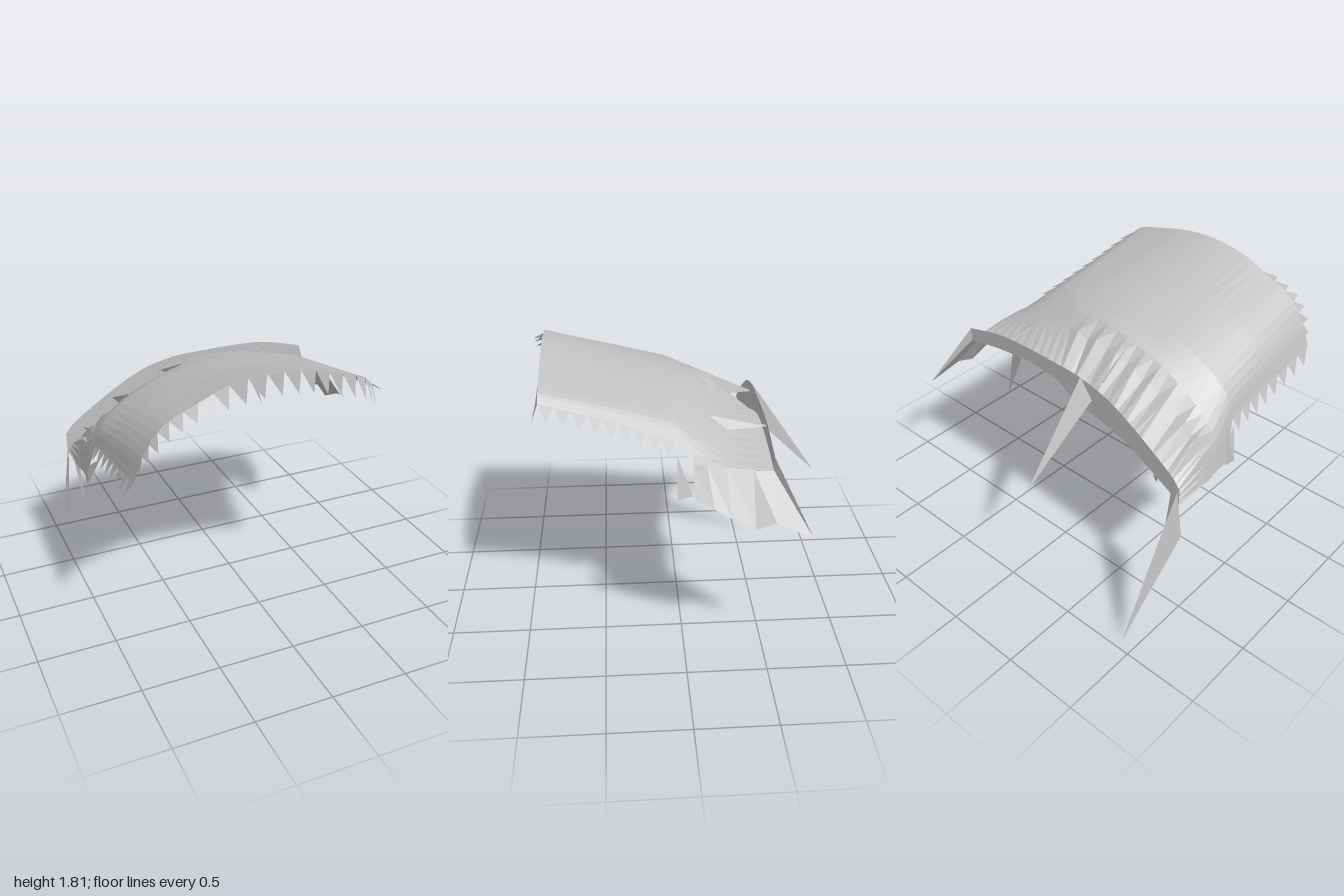
import * as THREE from 'three';

const V = (x, y, z) => new THREE.Vector3(x, y, z);

// Flat-shaded mesh from a list of corner points, three per triangle
function triMesh(name, pts, material) {
  const g = new THREE.BufferGeometry().setFromPoints(pts);
  g.computeVertexNormals();
  const m = new THREE.Mesh(g, material);
  m.name = name;
  return m;
}

// Skin between rows of points
function skin(rows) {
  const out = [];
  for (let j = 0; j < rows.length - 1; j++) {
    for (let i = 0; i < rows[j].length - 1; i++) {
      const a = rows[j][i], b = rows[j][i + 1], c = rows[j + 1][i + 1], d = rows[j + 1][i];
      out.push(a, b, c, a, c, d);
    }
  }
  return out;
}

const curve = (pts) => new THREE.CatmullRomCurve3(pts, false, 'centripetal');

// Curve across the model at depth z from x,y pairs
function section([z, p]) {
  const pts = [];
  for (let i = 0; i < p.length; i += 2) pts.push(V(p[i], p[i + 1], z));
  return curve(pts);
}

// Triangular teeth along an edge; tip(u) gives the offset of each point
function teeth(edge, n, lean, tip) {
  const out = [];
  for (let i = 0; i < n; i++) {
    const a = edge.getPoint(i / n), b = edge.getPoint((i + 1) / n);
    out.push(a, b, a.clone().lerp(b, lean).add(tip((i + 0.5) / n)));
  }
  return out;
}

export function createModel() {
  const group = new THREE.Group();
  const grey = new THREE.MeshStandardMaterial({ color: 0xc0c0c0, side: THREE.DoubleSide, flatShading: true });
  grey.name = 'grey';
  const add = (name, pts) => group.add(triMesh(name, pts, grey));
  const step = THREE.MathUtils.smoothstep;

  // Arch sections from front to back: z, then x,y pairs from -x to +x
  const COLS = 30;
  const curves = [
    [0.84, [-0.93, 1.3, -0.87, 1.46, -0.76, 1.6, -0.58, 1.69, -0.38, 1.77, -0.13, 1.805, 0.1, 1.785, 0.3, 1.735, 0.48, 1.68, 0.54, 1.63]],
    [0.42, [-0.92, 1.22, -0.87, 1.37, -0.76, 1.5, -0.57, 1.6, -0.37, 1.66, -0.12, 1.69, 0.12, 1.68, 0.32, 1.64, 0.5, 1.59, 0.58, 1.53]],
    [0.05, [-0.92, 1.16, -0.88, 1.28, -0.76, 1.4, -0.56, 1.51, -0.36, 1.57, -0.1, 1.61, 0.15, 1.6, 0.35, 1.565, 0.54, 1.5, 0.65, 1.42]],
    [-0.05, [-0.97, 0.9, -0.91, 1.18, -0.78, 1.33, -0.56, 1.46, -0.36, 1.53, -0.1, 1.58, 0.15, 1.57, 0.35, 1.53, 0.6, 1.43, 0.75, 1.32]],
    [-0.13, [-0.97, 0.9, -0.92, 1.12, -0.79, 1.27, -0.56, 1.42, -0.36, 1.5, -0.1, 1.56, 0.15, 1.55, 0.38, 1.49, 0.6, 1.41, 0.77, 1.31]],
    [-0.24, [-0.975, 0.88, -0.92, 1.07, -0.8, 1.19, -0.56, 1.33, -0.36, 1.41, -0.1, 1.48, 0.15, 1.48, 0.37, 1.44, 0.6, 1.37, 0.78, 1.3]],
    [-0.52, [-0.97, 0.87, -0.92, 0.92, -0.8, 0.99, -0.55, 1.13, -0.38, 1.18, -0.15, 1.23, 0, 1.31, 0.2, 1.34, 0.48, 1.32, 0.78, 1.27]],
  ].map(section);
  const rows = curves.map((c) => c.getPoints(COLS));

  // Shallow pleats on the right half of the back slope
  rows[5].forEach((p, i) => {
    if (i > 2 && i < COLS * 0.65) p.y += i % 2 ? 0.018 : -0.018;
  });
  add('archedSheet', skin(rows));

  // Upright band rising from the back edge of the sheet
  const bandTop = section([-0.52, [-0.97, 0.99, -0.92, 1.05, -0.8, 1.14, -0.55, 1.3, -0.38, 1.38, -0.15, 1.43, 0, 1.435, 0.2, 1.44, 0.48, 1.43, 0.78, 1.36]]);
  add('backBand', skin([rows[6], bandTop.getPoints(COLS)]));

  // Toothed fringes on the front and both sides
  add('frontTeeth', teeth(curves[0], 20, 0.7, (u) => {
    const w = step(u, 0.3, 0.48);
    return V(w * 0.04 - 0.02, -0.05 - 0.09 * w, (0.11 - 0.1 * w) * step(u, 0, 0.2) + 0.04 * step(u, 0.75, 1));
  }));
  const sideEdge = (i) => curve(rows.slice(0, 3).map((r) => r[i]));
  add('leftTeeth', teeth(sideEdge(COLS), 9, 0.4, () => V(0.1, -0.07, -0.01)));
  add('rightTeeth', teeth(sideEdge(0), 8, 0.4, () => V(-0.04, -0.1, -0.03)));

  // Drooping wing at the back left
  const wingTop = [V(0.75, 1.32, -0.05), V(0.77, 1.31, -0.13), V(0.78, 1.3, -0.24), V(0.78, 1.28, -0.4), V(0.78, 1.27, -0.52)];
  const wingLow = [V(0.87, 1.14, -0.05), V(0.91, 1.1, -0.16), V(0.935, 1.05, -0.26), V(0.955, 0.98, -0.4), V(0.955, 1.02, -0.52)];
  add('leftWing', skin([wingTop, wingLow]));
  add('leftWingSpikes', [
    wingTop[4], wingLow[4], V(1, 0.94, -0.73),
    V(0.78, 1.36, -0.52), wingTop[4], V(1, 0.94, -0.73),
    V(0.87, 1.17, -0.04), V(0.86, 1.14, 0.05), V(0.72, 1.35, 0.04),
  ]);

  // Small torn points on the right flap
  add('rightFlapSpikes', [
    V(-0.96, 0.95, -0.08), V(-0.98, 0.88, 0.02), V(-0.91, 1.08, 0.09),
    V(-0.97, 0.88, -0.06), V(-0.96, 1.1, -0.05), V(-0.98, 0.88, 0.02),
  ]);

  // Long spikes hanging from the back edge
  const rightTip = V(-0.91, 0, -0.95), midTip = V(-0.155, 0.79, -0.965);
  add('longSpikes', [
    V(-0.955, 0.97, -0.52), V(-1, 0.64, -0.52), rightTip,
    V(-0.95, 0.9, -0.52), V(-0.9, 0.92, -0.51), V(-0.875, 0.44, -0.55),
    V(-0.29, 1.3, -0.52), V(-0.2, 1.43, -0.52), midTip,
    V(-0.2, 1.43, -0.52), V(-0.17, 1.21, -0.52), midTip,
    V(-0.29, 1.3, -0.52), V(-0.17, 1.21, -0.52), midTip,
    V(0.31, 1.33, -0.52), V(0.4, 1.33, -0.51), V(0.485, 0.96, -0.5),
    V(-0.81, 0.99, -0.52), V(-0.77, 1.0, -0.52), V(-0.78, 0.93, -0.5),
  ]);

  // Slim spikes lying over the back slope: base x, base y, tip
  const slopeSpikes = [];
  [
    [-0.89, 1.04, V(-0.85, 1.16, -0.15)],
    [-0.66, 1.2, V(-0.63, 1.38, -0.13)],
    [-0.3, 1.34, V(-0.27, 1.52, -0.15)],
    [0.41, 1.4, V(0.4, 1.47, -0.17)],
  ].forEach(([x, y, tip]) => {
    const a = V(x, y, -0.52), b = V(x + 0.025, y, -0.52), c = V(x + 0.06, y, -0.28);
    slopeSpikes.push(a, b, tip, b, c, tip);
  });
  add('slopeSpikes', slopeSpikes);

  return group;
}
